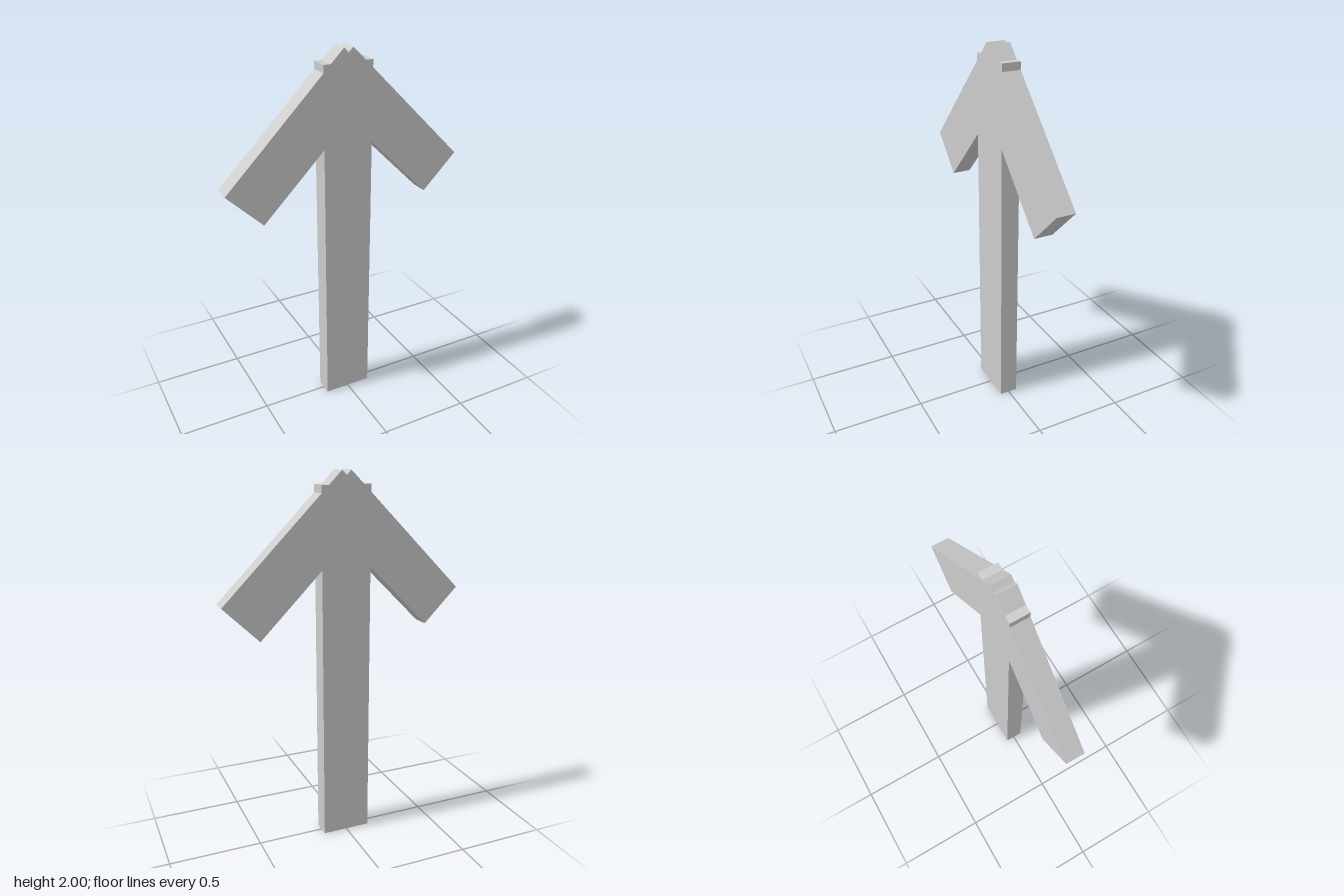
import * as THREE from 'three';

const DEPTH = 0.1;
const WIDTH = 0.268;

export function createModel() {
  const model = new THREE.Group();
  model.name = 'arrow';
  const grey = new THREE.MeshStandardMaterial({ color: 0xcccccc });
  grey.name = 'light grey';

  // upright shaft
  const shaft = new THREE.Mesh(new THREE.BoxGeometry(WIDTH, 1.93, DEPTH), grey);
  shaft.name = 'shaft';
  shaft.position.y = 0.965;
  model.add(shaft);

  // two slanted bars crossing at the tip
  const barGeometry = new THREE.BoxGeometry(0.898, WIDTH, DEPTH);
  for (const side of [1, -1]) {
    const bar = new THREE.Mesh(barGeometry, grey);
    bar.name = side > 0 ? 'leftHeadBar' : 'rightHeadBar';
    bar.position.set(side * 0.2475, 1.5875, 0);
    bar.rotation.z = -side * Math.PI / 4;
    model.add(bar);
  }
  return model;
}
